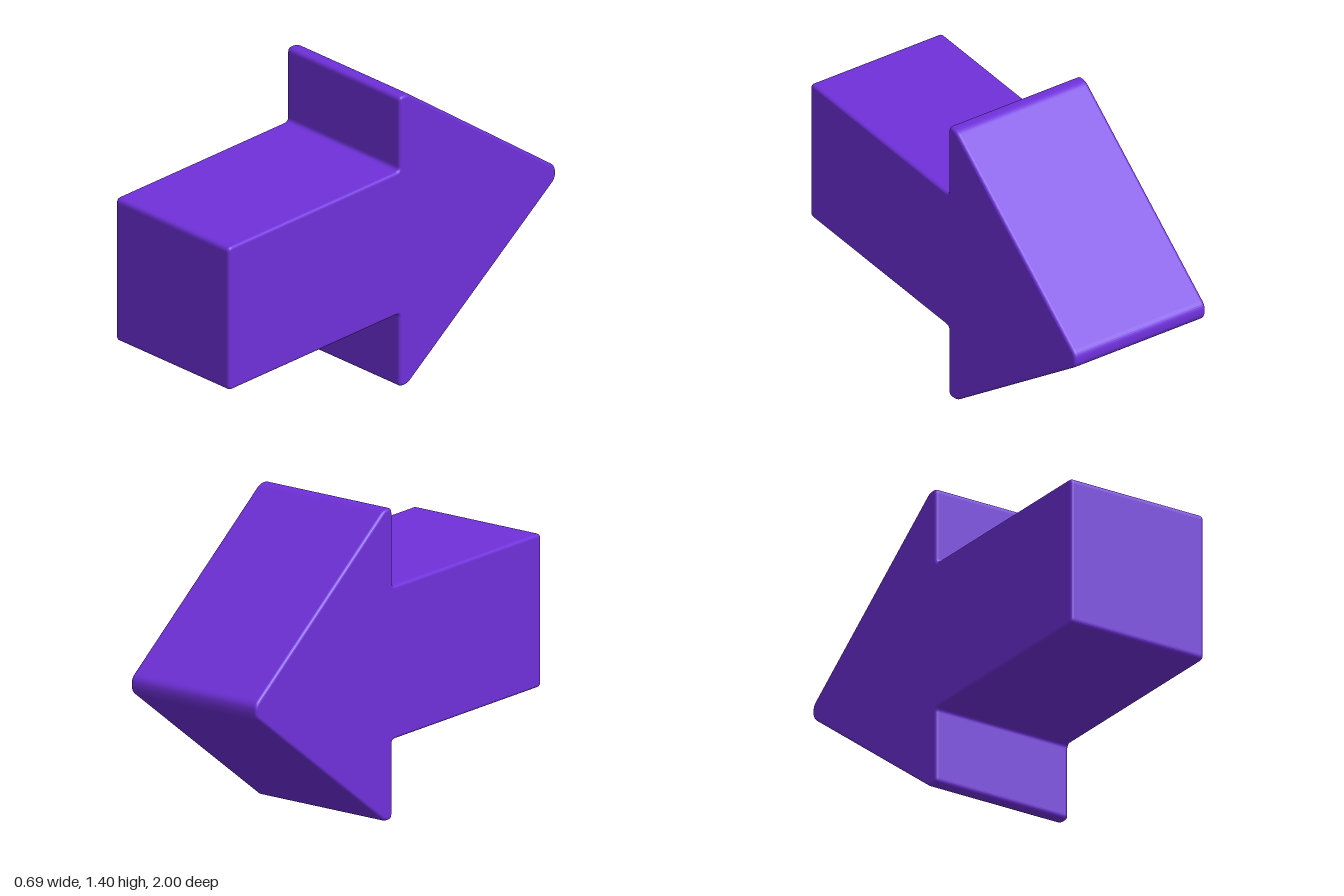
import * as THREE from 'three';

const WIDTH = 0.69, CENTER_Y = 0.7, BEVEL = 0.015;

// Closed outline with softened corners; each point is [x, y, cut length]
function roundedShape(points) {
  const shape = new THREE.Shape();
  const n = points.length;
  const toward = (a, b, d) => {
    const p = new THREE.Vector2(a[0], a[1]), q = new THREE.Vector2(b[0], b[1]);
    return p.add(q.sub(p).setLength(d));
  };
  points.forEach((p, i) => {
    const a = toward(p, points[(i + n - 1) % n], p[2]);
    const b = toward(p, points[(i + 1) % n], p[2]);
    if (i === 0) shape.moveTo(a.x, a.y);
    else shape.lineTo(a.x, a.y);
    shape.quadraticCurveTo(p[0], p[1], b.x, b.y);
  });
  shape.closePath();
  return shape;
}

export function createModel() {
  const group = new THREE.Group();
  group.name = 'arrow';
  const purple = new THREE.MeshStandardMaterial({ color: 0x6f30da });
  purple.name = 'purple';

  // Upper half of the profile, from tail to tip (x runs toward the back)
  const upper = [
    [-1, 0.345, 0.024],
    [0.045, 0.345, 0.02],
    [0.045, 0.7, 0.022],
    [0.098, 0.7, 0.022],
    [1, 0.03, 0.026],
  ];
  const lower = upper.map(([x, y, c]) => [x, -y, c]);
  const outline = [...lower, ...upper.reverse()];

  // Thick arrow body with rounded rims
  const geometry = new THREE.ExtrudeGeometry(roundedShape(outline), {
    depth: WIDTH - 2 * BEVEL,
    bevelEnabled: true,
    bevelThickness: BEVEL,
    bevelSize: BEVEL,
    bevelOffset: -BEVEL,
    bevelSegments: 5,
    curveSegments: 6,
  });
  geometry.translate(0, 0, -WIDTH / 2 + BEVEL);
  geometry.rotateY(Math.PI / 2);

  const body = new THREE.Mesh(geometry, purple);
  body.name = 'arrowBody';
  body.position.y = CENTER_Y;
  group.add(body);
  return group;
}
